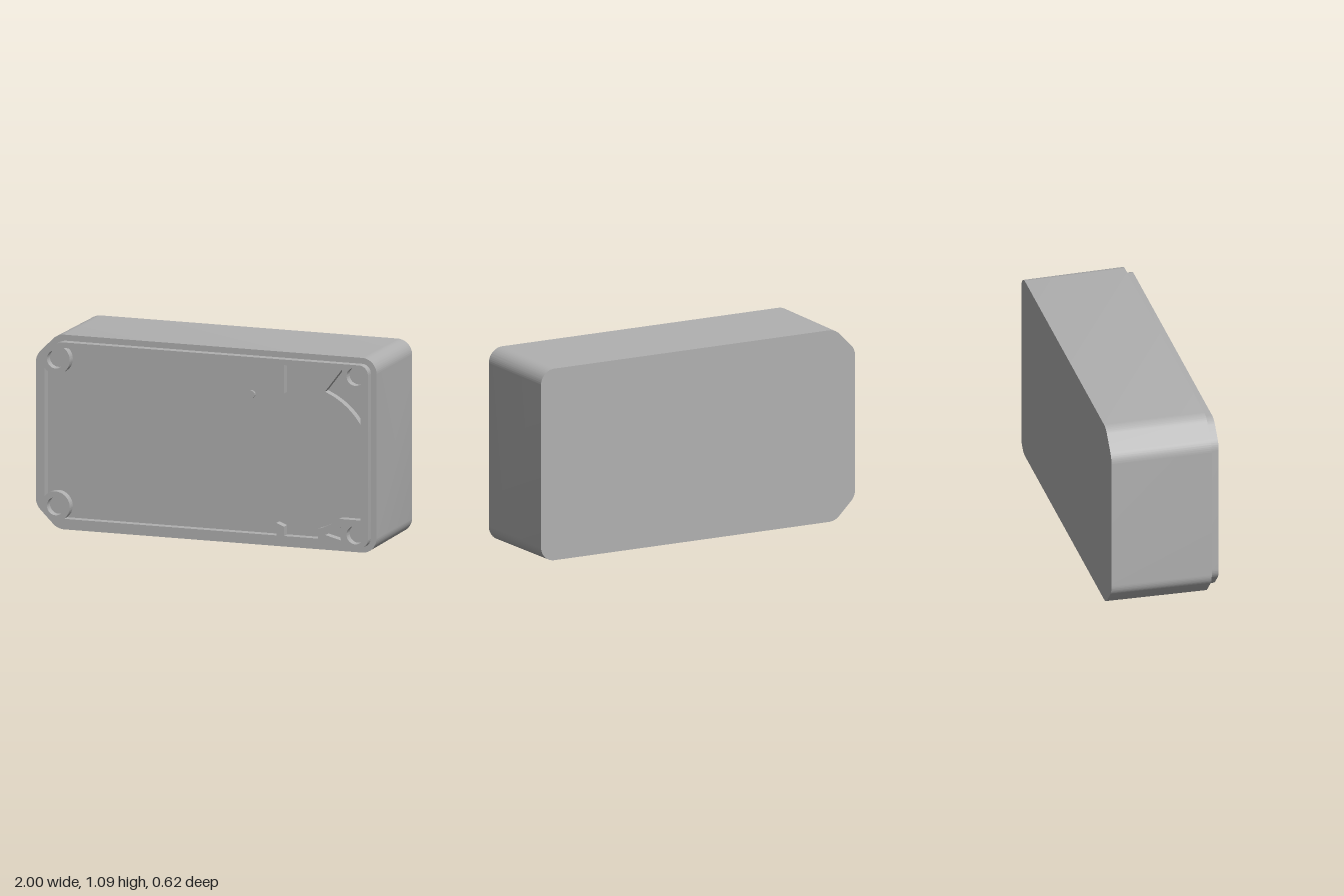
import * as THREE from 'three';
import { toCreasedNormals } from 'three/addons/utils/BufferGeometryUtils.js';

const HEIGHT = 1.094, MID = HEIGHT / 2;
const BACK = -0.308, FLOOR = 0.26, RIM = 0.308;
const DIAL = [0.56, 0.495]; // centre of the curved ribs

// Arc around c from point p to point q
function arc(path, c, r, p, q, clockwise) {
  const angle = (a) => Math.atan2(a[1] - c[1], a[0] - c[0]);
  path.absarc(c[0], c[1], r, angle(p), angle(q), clockwise);
}

function lines(path, points) {
  for (const [x, y] of points) path.lineTo(x, y);
}

function circle(x, y, r) {
  const p = new THREE.Path();
  p.absarc(x, y, r, 0, Math.PI * 2, false);
  return p;
}

// Rounded on the +x side, softened chamfers on the -x side
function outline(inset, Type = THREE.Shape) {
  const x = 1 - inset, b = inset, t = HEIGHT - inset;
  const r = 0.085 - inset, c = 0.128 - inset * 0.586, s = 0.04, d = s * 0.707;
  const p = new Type();
  p.moveTo(-x + c + s, b);
  p.lineTo(x - r, b);
  p.absarc(x - r, b + r, r, -Math.PI / 2, 0, false);
  p.lineTo(x, t - r);
  p.absarc(x - r, t - r, r, 0, Math.PI / 2, false);
  p.lineTo(-x + c + s, t);
  p.quadraticCurveTo(-x + c, t, -x + c - d, t - d);
  p.lineTo(-x + d, t - c + d);
  p.quadraticCurveTo(-x, t - c, -x, t - c - s);
  p.lineTo(-x, b + c + s);
  p.quadraticCurveTo(-x, b + c, -x + d, b + c - d);
  p.lineTo(-x + c - d, b + d);
  p.quadraticCurveTo(-x + c, b, -x + c + s, b);
  return p;
}

// Main recess with tabs, dial curve and the two screw posts on the -x side
function recess() {
  const p = new THREE.Path(), r = 0.388, post = 0.083;
  p.moveTo(0.43, 1.03);
  lines(p, [[0.43, 0.855], [0.475, 0.87], [0.475, 1.03], [0.675, 1.03]]);
  arc(p, DIAL, r, [0.675, 0.865], [0.925, 0.36], true);
  p.lineTo(0.925, 0.19);
  arc(p, DIAL, r, [0.8, 0.19], [0.675, 0.125], true);
  lines(p, [[0.675, 0.07], [0.475, 0.07], [0.475, 0.122], [0.43, 0.14], [0.43, 0.07]]);
  arc(p, [-0.866, 0.137], post, [-0.817, 0.07], [-0.93, 0.19], false);
  arc(p, [-0.866, 0.962], post, [-0.93, 0.909], [-0.818, 1.03], false);
  p.closePath();
  return p;
}

// Small pockets between the dial rib and the +x screw posts
function upperPocket() {
  const p = new THREE.Path();
  p.moveTo(0.715, 1.03);
  arc(p, DIAL, 0.432, [0.715, 0.898], [0.925, 0.73], true);
  arc(p, [0.893, 0.995], 0.09, [0.925, 0.911], [0.815, 0.95], true);
  p.lineTo(0.815, 1.03);
  p.closePath();
  return p;
}

function lowerPocket() {
  const p = new THREE.Path();
  p.moveTo(0.715, 0.07);
  arc(p, DIAL, 0.43, [0.715, 0.094], [0.815, 0.149], false);
  arc(p, [0.893, 0.105], 0.09, [0.815, 0.15], [0.81, 0.07], false);
  p.closePath();
  return p;
}

function extrude(shape, from, to) {
  const g = new THREE.ExtrudeGeometry(shape, { depth: to - from, bevelEnabled: false, curveSegments: 32 });
  return g.translate(0, 0, from);
}

export function createModel() {
  const group = new THREE.Group();
  group.name = 'enclosure';
  const grey = new THREE.MeshStandardMaterial({ color: 0xb0b0b0 });
  grey.name = 'grey plastic';
  const add = (name, geometry) => {
    const mesh = new THREE.Mesh(toCreasedNormals(geometry, Math.PI / 7), grey);
    mesh.name = name;
    group.add(mesh);
  };

  // Body with a slight draft towards the back
  const body = extrude(outline(0), BACK, FLOOR);
  const pos = body.attributes.position;
  for (let i = 0; i < pos.count; i++) {
    if (pos.getZ(i) > 0) continue;
    pos.setX(i, pos.getX(i) * 0.996);
    pos.setY(i, MID + (pos.getY(i) - MID) * 0.992);
  }
  add('body', body);

  // Raised lip with recess, pockets and screw holes
  const lip = outline(0.033);
  lip.holes.push(recess(), upperPocket(), lowerPocket());
  for (const [x, y] of [[-0.866, 0.137], [-0.866, 0.962], [0.893, 0.105], [0.893, 0.995]]) {
    lip.holes.push(circle(x, y, 0.051));
  }
  add('lip', extrude(lip, FLOOR, RIM));

  // Locating pin on the recess floor
  const pin = new THREE.CylinderGeometry(0.022, 0.022, 0.015, 24);
  add('pin', pin.rotateX(Math.PI / 2).translate(0.268, 0.843, FLOOR + 0.0075));

  return group;
}
